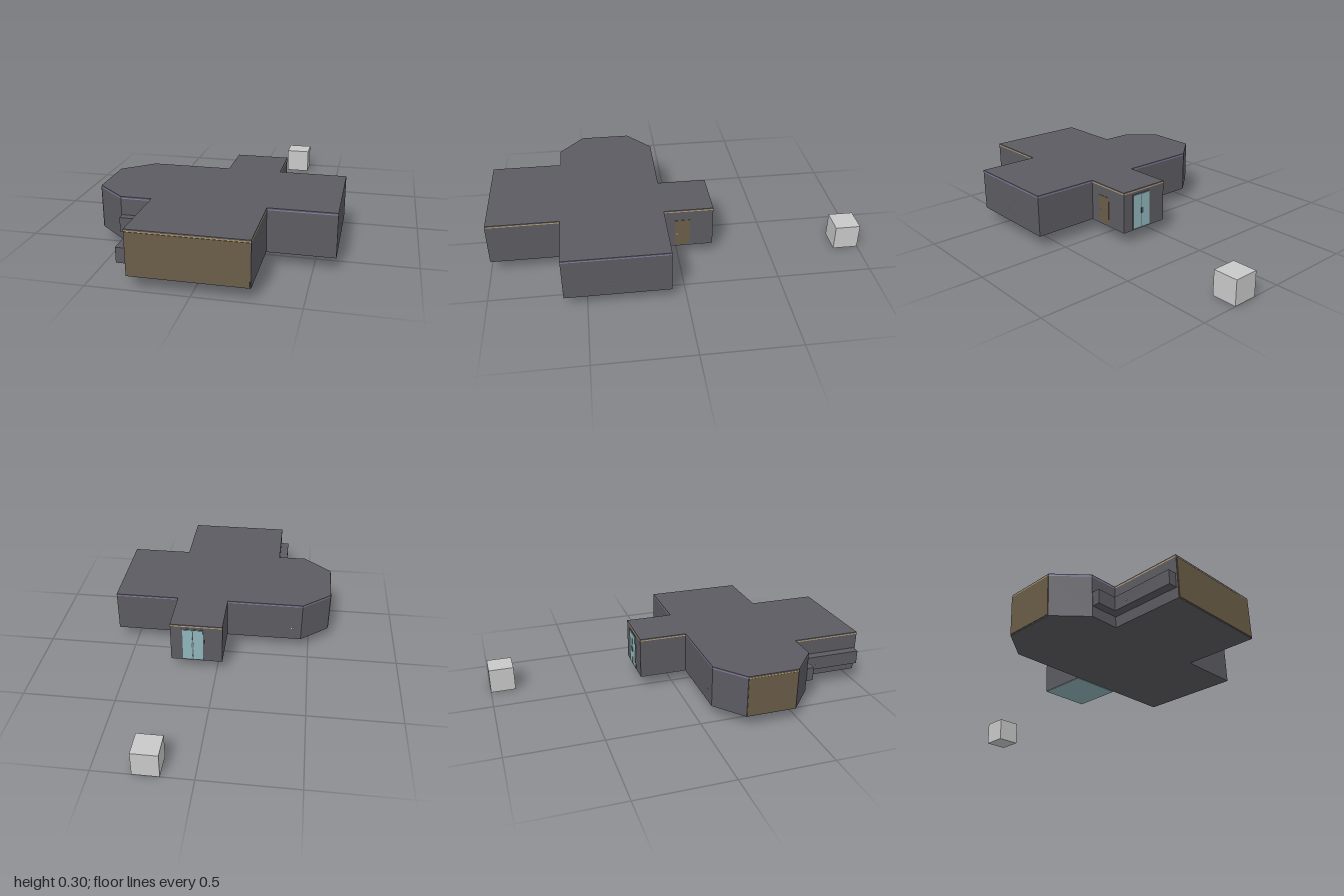
import * as THREE from 'three';

const mat = (name, color) => {
  const m = new THREE.MeshStandardMaterial({ color });
  m.name = name;
  return m;
};

export function createModel() {
  const grey = mat('dark grey', 0x5c5b61);
  const brown = mat('brown', 0x6b5d48);
  const gold = mat('gold', 0xc0a26c);
  const purple = mat('purple', 0x8a7bb0);
  const glass = mat('pale teal', 0x8fb6bc);
  const light = mat('light grey', 0xc9c9c9);

  const model = new THREE.Group();
  model.name = 'building';

  const add = (name, geometry, material, parent = model) => {
    const mesh = new THREE.Mesh(geometry, material);
    mesh.name = name;
    parent.add(mesh);
    return mesh;
  };

  // Box given by its limits on each axis
  const box = (name, material, x0, x1, y0, y1, z0, z1, parent = model) => {
    const mesh = add(name, new THREE.BoxGeometry(x1 - x0, y1 - y0, z1 - z0), material, parent);
    mesh.position.set((x0 + x1) / 2, (y0 + y1) / 2, (z0 + z1) / 2);
    return mesh;
  };

  // Floor plan of [x, z] corners raised from y0 to y1
  const prism = (name, material, plan, y0, y1, parent) => {
    const shape = new THREE.Shape(plan.map(([x, z]) => new THREE.Vector2(x, z)));
    const g = new THREE.ExtrudeGeometry(shape, { depth: y1 - y0, bevelEnabled: false });
    g.rotateX(Math.PI / 2);
    g.translate(0, y1, 0);
    return add(name, g, material, parent);
  };

  const rect = (x0, x1, z0, z1) => [[x0, z0], [x1, z0], [x1, z1], [x0, z1]];

  // Three joined rooms, each with walls, a thin coloured band and a roof slab
  const rooms = [
    ['mainRoom', purple, [[-0.455, 0.075], [0.607, 0.075], [0.607, 0.615], [-0.455, 0.615], [-0.61, 0.48], [-0.61, 0.205]]],
    ['frontRoom', gold, rect(-0.298, 0.272, 0.615, 0.995)],
    ['backEntrance', gold, rect(-0.032, 0.252, -0.188, 0.075)],
  ];
  for (const [name, trim, plan] of rooms) {
    const room = new THREE.Group();
    room.name = name;
    model.add(room);
    prism('walls', grey, plan, 0.068, 0.284, room);
    prism('trimBand', trim, plan, 0.284, 0.289, room);
    prism('roof', grey, plan, 0.289, 0.296, room);
  }

  // Entrance floor seen from beneath
  box('entranceFloor', glass, -0.03, 0.25, 0.065, 0.069, -0.186, 0.075);

  // Brown wall faces at the front and at the end of the bay
  box('frontWallPanel', brown, -0.293, 0.267, 0.074, 0.284, 0.99, 0.998);
  box('bayWallPanel', brown, -0.613, -0.606, 0.074, 0.284, 0.207, 0.478);
  box('bayTrim', gold, -0.612, -0.606, 0.284, 0.289, 0.207, 0.478);

  // Side door with handle
  box('sideDoor', brown, 0.249, 0.254, 0.077, 0.232, -0.064, 0.016);
  box('sideDoorHandle', light, 0.253, 0.257, 0.145, 0.15, 0.002, 0.008);

  // Double glass door with a dark frame and a middle gap
  box('doorFrame', grey, 0.066, 0.192, 0.07, 0.271, -0.19, -0.185);
  for (const x of [0.073, 0.131]) box('glassDoorLeaf', glass, x, x + 0.054, 0.077, 0.265, -0.192, -0.187);
  for (const x of [0.122, 0.133]) box('glassDoorHandle', grey, x, x + 0.003, 0.155, 0.185, -0.195, -0.191);

  // Raised ledge wrapping the corner beside the front room
  box('longLedge', grey, -0.344, -0.296, 0.125, 0.2, 0.61, 0.985);
  box('shortLedge', grey, -0.452, -0.344, 0.125, 0.2, 0.61, 0.655);

  // Small wall switches
  box('rightWallSwitch', light, 0.606, 0.61, 0.138, 0.143, 0.367, 0.373);
  box('backWallSwitch', light, -0.402, -0.397, 0.138, 0.143, 0.072, 0.076);
  box('ledgeKnob', light, -0.347, -0.343, 0.15, 0.155, 0.728, 0.733);

  // Loose cube standing behind the building
  box('cube', light, 0.164, 0.299, 0, 0.135, -1, -0.865);

  return model;
}
